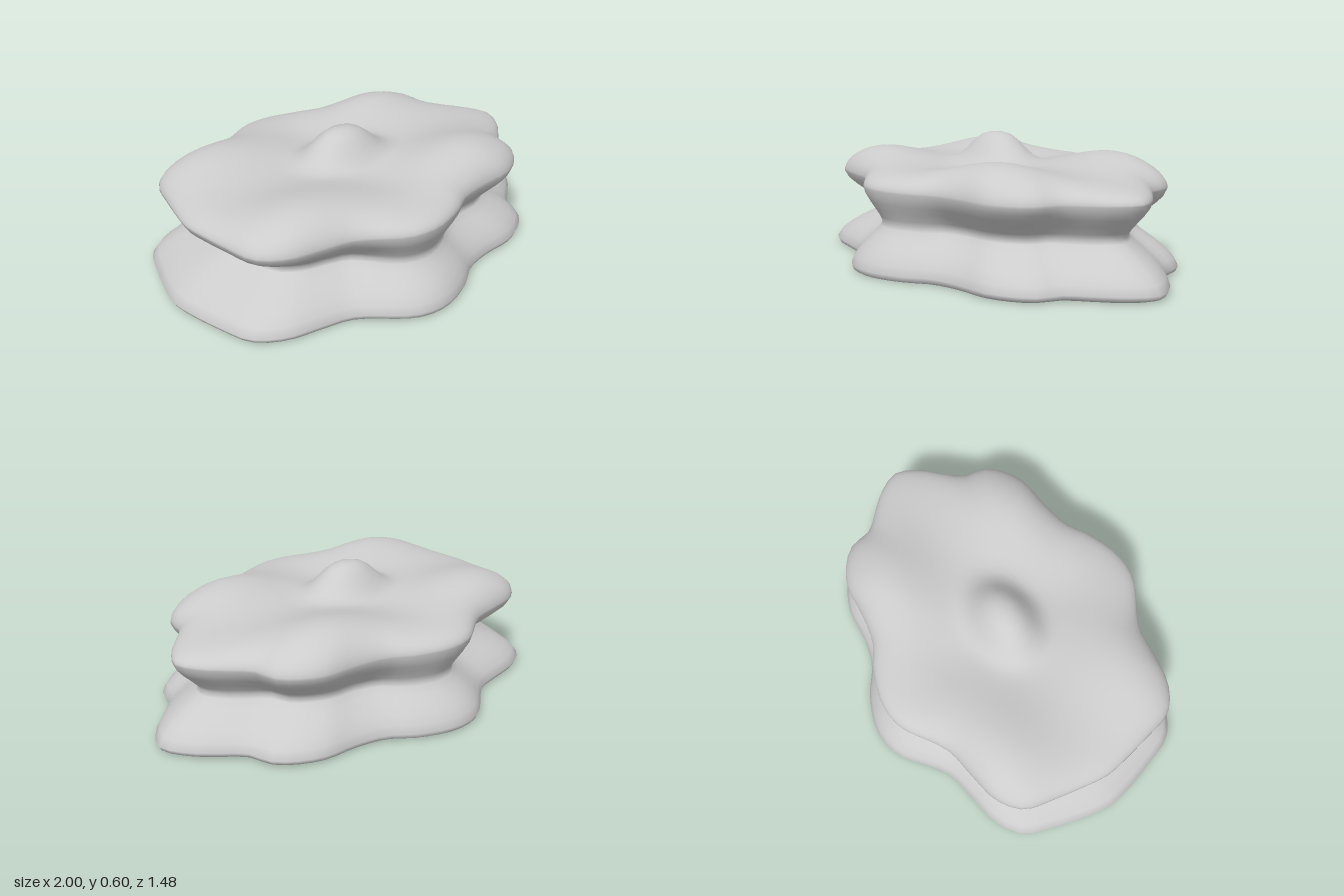
import * as THREE from 'three';
import { mergeVertices } from 'three/addons/utils/BufferGeometryUtils.js';

const CX = -0.08; // centre of the lobed outline
const SEG = 96;
const RIM_Y = 0.375;

// Half of the base outline (x, z), from the right tip round the front to the left side
const HALF = [
  [1.0, 0], [0.94, 0.12], [0.86, 0.2], [0.755, 0.3], [0.725, 0.4], [0.655, 0.47],
  [0.53, 0.53], [0.37, 0.545], [0.22, 0.585], [0.1, 0.67], [-0.07, 0.735],
  [-0.22, 0.72], [-0.45, 0.56], [-0.6, 0.53], [-0.76, 0.5], [-0.88, 0.42],
  [-0.935, 0.28], [-0.985, 0.1], [-1.0, 0],
];

function outline() {
  const back = HALF.slice(1, -1).reverse().map(([x, z]) => [x, -z]);
  const pts = [...HALF, ...back].map(([x, z]) => new THREE.Vector3(x, 0, z));
  return new THREE.CatmullRomCurve3(pts, true).getSpacedPoints(SEG).slice(0, SEG);
}

const bump = (x, z, cx, cz, rx, rz, power = 2) =>
  Math.exp(-Math.pow(Math.hypot((x - cx) / rx, (z - cz) / rz), power));

// Height of the top: central dome, four broad corner lobes, shallow dips between
function topHeight(x, z) {
  let y = 0.448 + 0.145 * bump(x, z, CX, 0, 0.18, 0.13, 3);
  for (const s of [1, -1]) {
    y += 0.078 * bump(x, z, 0.38, s * 0.34, 0.32, 0.23);
    y += 0.066 * bump(x, z, -0.56, s * 0.34, 0.32, 0.23);
    y -= 0.015 * bump(x, z, CX, s * 0.3, 0.16, 0.14);
  }
  return y;
}

// The waist is pinched more at the corners, where the rim bulges further out
const waistScale = (a) => 0.745 + 0.04 * Math.cos(a) + 0.065 * Math.sin(a) ** 2
  - 0.045 * Math.sin(2 * a) ** 2;
const rimScale = (a) => 0.9 + 0.05 * Math.sin(2 * a) ** 2;

// Side profile: [height, amount of foot, amount of rim]; the rest is waist
const SIDE = [
  [0, 0.87, 0], [0.008, 0.96, 0], [0.028, 1, 0], [0.065, 0.9, 0], [0.1, 0.72, 0],
  [0.135, 0.5, 0], [0.17, 0.24, 0], [0.2, 0.06, 0], [0.22, 0, 0.02], [0.245, 0, 0.16],
  [0.28, 0, 0.43], [0.315, 0, 0.71], [0.345, 0, 0.91], [RIM_Y, 0, 1],
];

function bodyGeometry() {
  const base = outline();
  const pos = [], index = [];
  let rings = 0;
  const addRing = (fn) => {
    base.forEach((p) => pos.push(...fn(p.x - CX, p.z, Math.atan2(p.z, p.x - CX))));
    rings++;
  };

  // flat underside
  for (const s of [0, 0.5, 0.88, 0.93]) addRing((x, z) => [CX + x * s, 0, z * s]);

  // flared foot, pinched waist and overhanging rim
  for (const [y, foot, rim] of SIDE) {
    addRing((x, z, a) => {
      const w = waistScale(a);
      const s = w + (1 - w) * foot + (rimScale(a) - w) * rim;
      return [CX + x * s, y, z * s];
    });
  }

  // rounded edge and sculpted top, closing at the dome
  const N = 32;
  for (let k = N - 1; k >= 0; k--) {
    const u = Math.sin((k / N) * Math.PI / 2);
    const round = Math.pow(1 - Math.pow(u, 8), 0.5);
    addRing((x, z, a) => {
      const s = u * rimScale(a);
      const px = CX + x * s, pz = z * s;
      return [px, RIM_Y + (topHeight(px, pz) - RIM_Y) * round, pz];
    });
  }

  for (let i = 0; i < rings - 1; i++) {
    for (let j = 0; j < SEG; j++) {
      const k = (j + 1) % SEG;
      const a = i * SEG + j, b = i * SEG + k, c = a + SEG, d = b + SEG;
      if (i < rings - 2) index.push(a, c, d);
      else index.push(a, c, b);
      if (i > 0 && i < rings - 2) index.push(a, d, b);
    }
  }

  const geo = new THREE.BufferGeometry();
  geo.setAttribute('position', new THREE.Float32BufferAttribute(pos, 3));
  geo.setIndex(index);
  const merged = mergeVertices(geo, 1e-5);
  merged.computeVertexNormals();
  return merged;
}

export function createModel() {
  const group = new THREE.Group();
  group.name = 'lobedForm';
  const grey = new THREE.MeshStandardMaterial({ color: 0xcccccc });
  grey.name = 'light grey';
  const body = new THREE.Mesh(bodyGeometry(), grey);
  body.name = 'body';
  group.add(body);
  return group;
}
